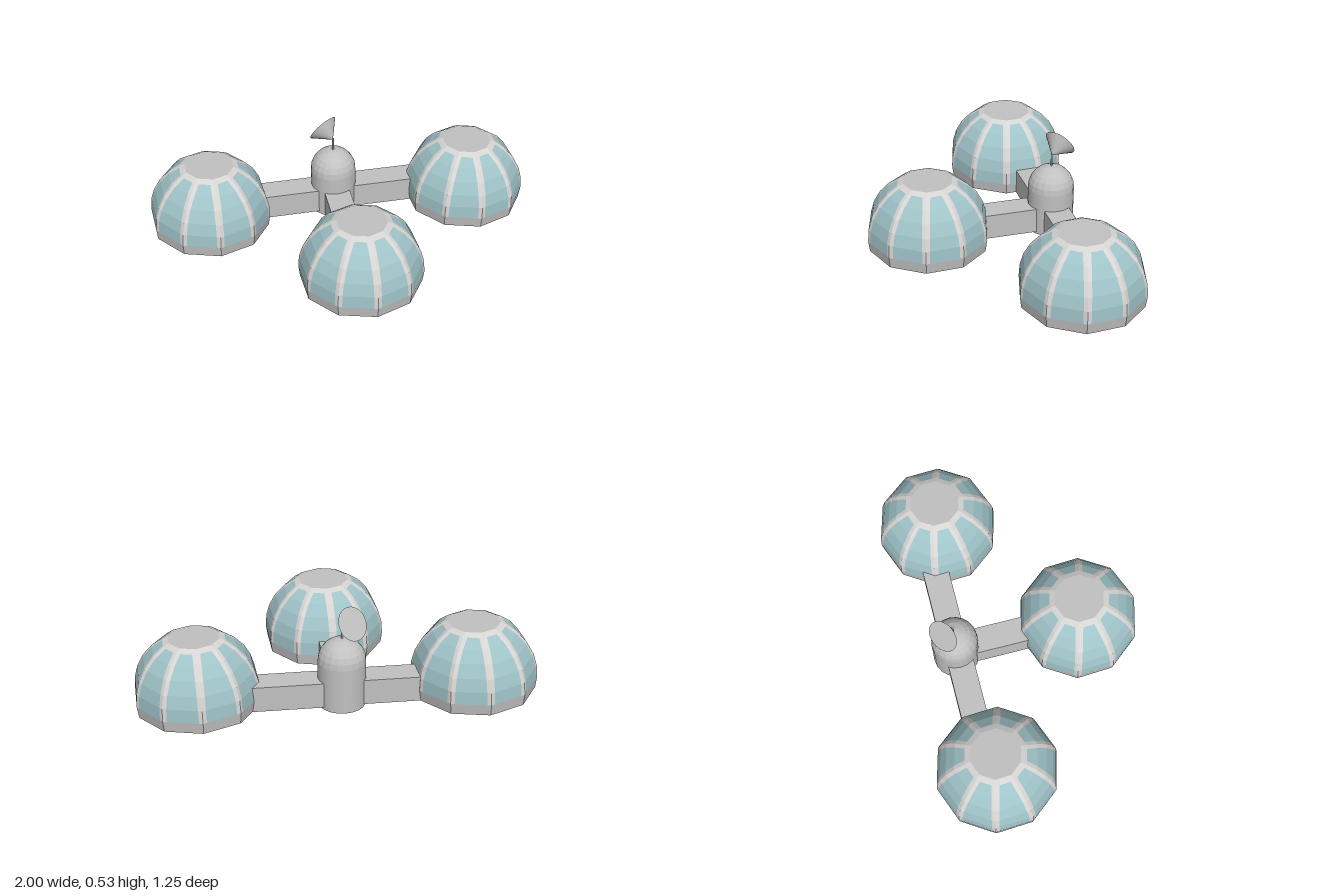
import * as THREE from 'three';

const rad = THREE.MathUtils.degToRad;
const material = (name, color) => {
  const m = new THREE.MeshStandardMaterial({ color });
  m.name = name;
  return m;
};

export function createModel() {
  const glass = material('tinted glass', 0x9fc3c8);
  const frame = material('light frame', 0xd6d4d3);
  const hull = material('grey hull', 0xc2c1c1);

  const model = new THREE.Group();
  model.name = 'domeHabitat';

  function add(parent, name, geometry, mat, x = 0, y = 0, z = 0) {
    const mesh = new THREE.Mesh(geometry, mat);
    mesh.name = name;
    mesh.position.set(x, y, z);
    parent.add(mesh);
    return mesh;
  }

  // ---- Ten-sided dome: flat facets on a truncated sphere ----
  const SIDES = 10, R = 0.318, YAW = 3, RIB = 0.02, CENTRE = 0.07;
  const rows = [-2, 10, 22, 35, 48, 60];
  const BASE = -12.7, TOP = 66;

  const corner = (k, lat) => {
    const a = rad(YAW + k * 360 / SIDES), r = R * Math.cos(rad(lat));
    return new THREE.Vector3(r * Math.sin(a), CENTRE + R * Math.sin(rad(lat)), r * Math.cos(a));
  };

  // Collects unshared quads and triangles, so every facet stays flat
  function facets() {
    const pos = [];
    const tri = (...pts) => pts.forEach(p => pos.push(p.x, p.y, p.z));
    return {
      tri,
      quad(a, b, c, d) { tri(a, b, c); tri(a, c, d); },
      build() {
        const g = new THREE.BufferGeometry();
        g.setAttribute('position', new THREE.Float32BufferAttribute(pos, 3));
        g.computeVertexNormals();
        return g;
      },
    };
  }

  const panes = facets(), ribs = facets(), band = facets(), plates = facets();
  // Point on a ring edge, a fixed distance in from either corner
  const inset = (k, lat, fromLeft) => {
    const a = corner(k, lat), b = corner(k + 1, lat);
    const t = RIB / a.distanceTo(b);
    return a.lerp(b, fromLeft ? t : 1 - t);
  };
  for (let k = 0; k < SIDES; k++) {
    for (let i = 0; i < rows.length - 1; i++) {
      const lo = rows[i], hi = rows[i + 1];
      const l0 = inset(k, lo, true), r0 = inset(k, lo, false);
      const l1 = inset(k, hi, true), r1 = inset(k, hi, false);
      panes.quad(l0, r0, r1, l1);
      ribs.quad(corner(k, lo), l0, l1, corner(k, hi));
      ribs.quad(r0, corner(k + 1, lo), corner(k + 1, hi), r1);
    }
    // ring under the roof plate
    const last = rows[rows.length - 1];
    ribs.quad(corner(k, last), corner(k + 1, last), corner(k + 1, TOP), corner(k, TOP));
    // foundation band
    band.quad(corner(k, BASE), corner(k + 1, BASE), corner(k + 1, rows[0]), corner(k, rows[0]));
    // roof plate and floor
    const mid = lat => new THREE.Vector3(0, corner(0, lat).y, 0);
    plates.tri(mid(TOP), corner(k, TOP), corner(k + 1, TOP));
    plates.tri(mid(BASE), corner(k + 1, BASE), corner(k, BASE));
  }
  const domeParts = [
    ['glassPanes', panes.build(), glass], ['ribs', ribs.build(), frame],
    ['foundationBand', band.build(), hull], ['roofAndFloor', plates.build(), hull],
  ];

  // name, position, tilt about x and z in degrees
  const domes = [
    ['rightDome', [-0.693, 0.02, -0.31], 0.3, -1.9],
    ['leftDome', [0.693, 0.009, -0.291], 0.6, -1.1],
    ['frontDome', [-0.005, 0.009, 0.304], -0.3, -0.6],
  ];
  for (const [name, position, tiltX, tiltZ] of domes) {
    const dome = new THREE.Group();
    dome.name = name;
    dome.position.set(...position);
    dome.rotation.set(rad(tiltX), 0, rad(tiltZ));
    domeParts.forEach(([part, g, m]) => add(dome, part, g, m));
    model.add(dome);
  }

  // ---- Tunnels from hub to domes ----
  const H = 0.133, Y = 0.012 + H / 2;
  add(model, 'rightTunnel', new THREE.BoxGeometry(0.44, H, 0.135), hull, -0.235, Y, -0.353);
  add(model, 'leftTunnel', new THREE.BoxGeometry(0.46, H, 0.135), hull, 0.22, Y, -0.362);
  add(model, 'frontTunnel', new THREE.BoxGeometry(0.135, H, 0.42), hull, -0.013, Y, -0.15);

  // ---- Hub with rounded top ----
  const hub = new THREE.Group();
  hub.name = 'hub';
  hub.position.set(-0.015, 0, -0.36);
  model.add(hub);
  add(hub, 'hubWall', new THREE.CylinderGeometry(0.12, 0.12, 0.235, 20).toNonIndexed(), hull, 0, 0.1175, 0);
  const cap = new THREE.SphereGeometry(0.12, 20, 6, 0, Math.PI * 2, 0, Math.PI / 2).toNonIndexed();
  cap.computeVertexNormals();
  add(hub, 'hubRoof', cap, hull, 0, 0.235, 0);

  // ---- Antenna: mast and tilted cone dish, apex on the mast ----
  add(hub, 'mast', new THREE.CylinderGeometry(0.005, 0.005, 0.085, 8), hull, 0, 0.38, 0);
  const dishGeometry = new THREE.ConeGeometry(0.085, 0.085, 24);
  dishGeometry.rotateX(Math.PI).translate(0, 0.0425, 0);
  const dish = add(hub, 'dish', dishGeometry, hull, 0, 0.414, 0);
  dish.quaternion.setFromUnitVectors(
    new THREE.Vector3(0, 1, 0), new THREE.Vector3(-0.5, 0.52, -0.68).normalize());

  return model;
}
